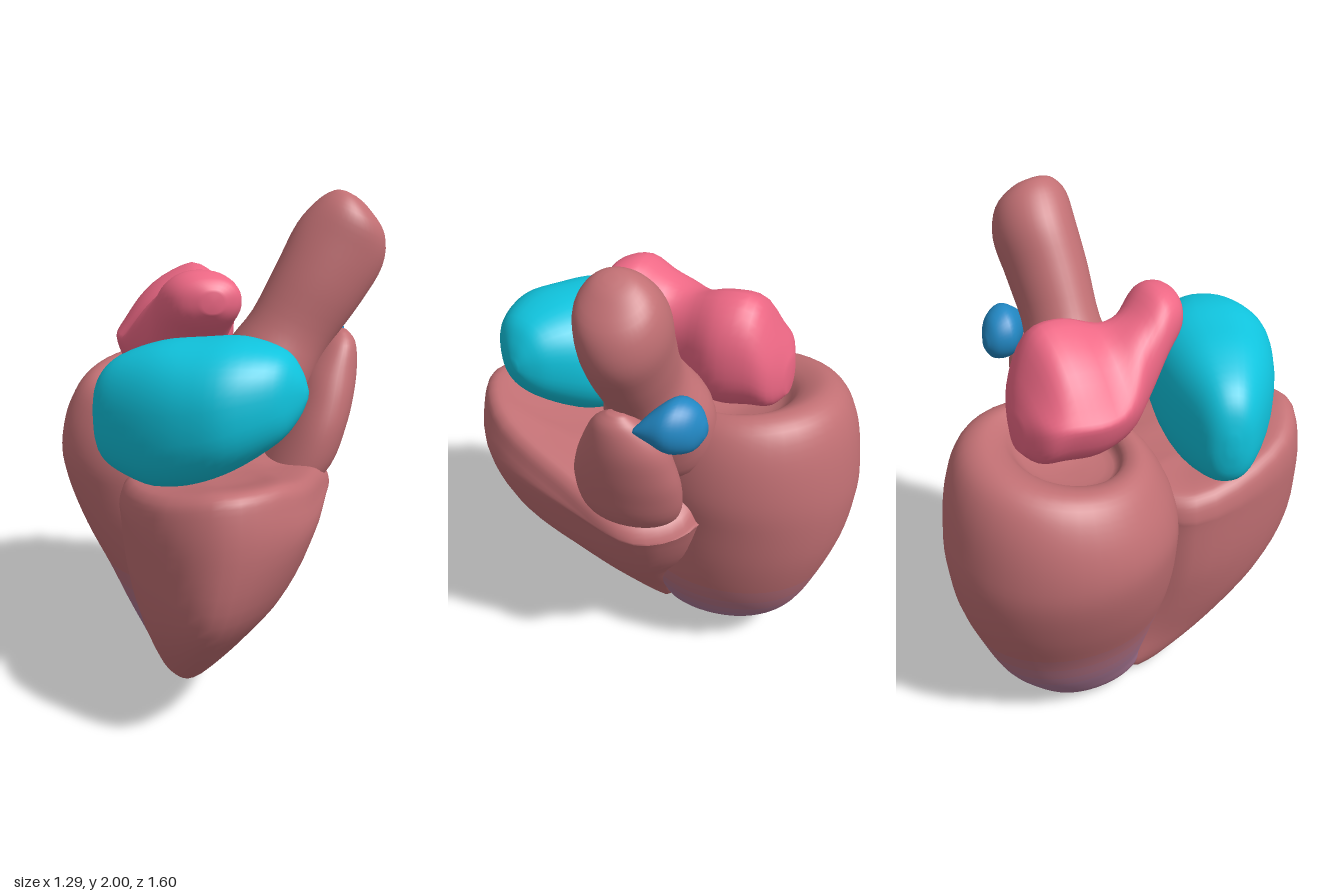
import * as THREE from 'three';
import { mergeVertices } from 'three/addons/utils/BufferGeometryUtils.js';

const SIDES = 40;
const V = (x, y, z) => new THREE.Vector3(x, y, z);
const material = (color) => new THREE.MeshStandardMaterial({ color });
const MUSCLE = 0xc27074;

// Smoothly interpolates rows of numbers
function refine(rows, steps = 4) {
  const out = [];
  const at = (i) => rows[Math.max(0, Math.min(rows.length - 1, i))];
  for (let i = 0; i < rows.length - 1; i++) {
    for (let s = 0; s < steps; s++) {
      const t = s / steps;
      out.push(at(i).map((b, k) => {
        const a = at(i - 1)[k], c = at(i + 1)[k], d = at(i + 2)[k];
        return b + 0.5 * t * (c - a + t * (2 * a - 5 * b + 4 * c - d + t * (3 * (b - c) + d - a)));
      }));
    }
  }
  out.push(rows[rows.length - 1]);
  return out;
}

// Skins closed rings of points, with a fan at both ends, facing outward
function skin(rings) {
  const n = rings[0].length;
  const pos = rings.flat().flatMap((p) => [p.x, p.y, p.z]);
  const tris = [];
  const centre = (ring) => {
    const c = V(0, 0, 0);
    ring.forEach((p) => c.addScaledVector(p, 1 / n));
    pos.push(c.x, c.y, c.z);
    return pos.length / 3 - 1;
  };
  const first = centre(rings[0]), last = centre(rings[rings.length - 1]);
  const top = (rings.length - 1) * n;
  for (let j = 0; j < n; j++) tris.push([first, (j + 1) % n, j]);
  for (let i = 0; i < rings.length - 1; i++) {
    for (let j = 0; j < n; j++) {
      const a = i * n + j, b = i * n + ((j + 1) % n);
      tris.push([a, b, b + n], [a, b + n, a + n]);
    }
  }
  for (let j = 0; j < n; j++) tris.push([last, top + j, top + ((j + 1) % n)]);
  const point = (i) => V(pos[3 * i], pos[3 * i + 1], pos[3 * i + 2]);
  let volume = 0;
  for (const [a, b, c] of tris) volume += point(a).dot(point(b).cross(point(c)));
  const geometry = new THREE.BufferGeometry();
  geometry.setAttribute('position', new THREE.Float32BufferAttribute(pos, 3));
  geometry.setIndex(tris.flatMap(([a, b, c]) => (volume < 0 ? [a, c, b] : [a, b, c])));
  const welded = mergeVertices(geometry, 1e-6);
  welded.computeVertexNormals();
  return welded;
}

// Rows are [x, y, z, half-width along u, half-width along v]
function loft(rows, u, v, power = 1, bend = () => {}) {
  const soften = (c) => Math.sign(c) * Math.abs(c) ** power;
  return skin(refine(rows).map(([x, y, z, a, b]) =>
    Array.from({ length: SIDES }, (_, j) => {
      const t = (j / SIDES) * Math.PI * 2;
      const p = V(x, y, z)
        .addScaledVector(u, a * soften(Math.cos(t)))
        .addScaledVector(v, b * soften(Math.sin(t)));
      bend(p);
      return p;
    })));
}

export function createModel() {
  const group = new THREE.Group();
  const add = (name, geometry, mat) => {
    const mesh = new THREE.Mesh(geometry, mat);
    mesh.name = name;
    group.add(mesh);
  };
  const X = V(1, 0, 0), Y = V(0, 1, 0), Z = V(0, 0, 1);

  // Left ventricle: egg with a rolled rim that dips into a hollow
  const leftVentricle = loft([
    [-0.2, 0.015, -0.25, 0.03, 0.06],
    [-0.195, 0.05, -0.22, 0.1, 0.2],
    [-0.175, 0.15, -0.265, 0.18, 0.275],
    [-0.165, 0.25, -0.29, 0.24, 0.33],
    [-0.16, 0.4, -0.305, 0.31, 0.385],
    [-0.18, 0.6, -0.33, 0.385, 0.435],
    [-0.2, 0.8, -0.35, 0.435, 0.45],
    [-0.2, 0.95, -0.35, 0.45, 0.445],
    [-0.2, 1.1, -0.35, 0.425, 0.415],
    [-0.2, 1.21, -0.35, 0.37, 0.36],
    [-0.2, 1.255, -0.34, 0.3, 0.29],
    [-0.18, 1.23, -0.32, 0.24, 0.22],
    [-0.17, 1.16, -0.3, 0.18, 0.17],
    [-0.17, 1.13, -0.3, 0.03, 0.03],
  ], X, Z, 1, (p) => {
    // The rim rises toward the back and the left
    const upper = THREE.MathUtils.smoothstep(p.y, 0.8, 1.2);
    p.y += upper * (0.12 * (-0.38 - p.z) + 0.1 * (p.x + 0.15));
  });
  // Purple tip fades into the muscle colour in bands
  const bands = [0xab7896, 0xb0768f, 0xb67487, 0xbc727e, MUSCLE];
  let start = 0;
  [11, 2, 2, 2].forEach((rows, i) => {
    const count = (rows * 2 + (i === 0 ? 1 : 0)) * SIDES * 3;
    leftVentricle.addGroup(start, count, i);
    start += count;
  });
  leftVentricle.addGroup(start, leftVentricle.index.count - start, 4);
  add('leftVentricle', leftVentricle, bands.map(material));

  // Right ventricle: height, then eight outline points (x, z) from the left seam round the front
  const levels = [
    [0.0, -0.22, 0, -0.22, 0.01, -0.2, 0.03, -0.18, 0.01, -0.17, 0, -0.18, -0.01, -0.2, -0.02, -0.22, -0.01],
    [0.06, -0.26, 0, -0.25, 0.1, -0.2, 0.17, -0.14, 0.1, -0.12, 0, -0.14, -0.04, -0.2, -0.06, -0.25, -0.05],
    [0.2, -0.3, 0.08, -0.29, 0.28, -0.2, 0.4, -0.09, 0.3, -0.02, 0.1, -0.02, -0.02, -0.1, -0.1, -0.25, -0.05],
    [0.4, -0.36, 0.1, -0.34, 0.45, -0.2, 0.62, -0.02, 0.5, 0.12, 0.18, 0.15, -0.04, 0, -0.15, -0.25, -0.05],
    [0.6, -0.41, 0.12, -0.35, 0.57, -0.17, 0.765, 0.08, 0.61, 0.25, 0.23, 0.28, -0.1, 0.1, -0.25, -0.25, -0.05],
    [0.85, -0.43, 0.12, -0.35, 0.63, -0.13, 0.8, 0.16, 0.66, 0.345, 0.25, 0.4, -0.12, 0.2, -0.3, -0.25, -0.05],
    [1.0, -0.43, 0.12, -0.35, 0.62, -0.12, 0.785, 0.15, 0.65, 0.34, 0.25, 0.43, -0.1, 0.25, -0.28, -0.25, -0.05],
  ];
  // Rounded top closing inward
  const rim = levels[levels.length - 1];
  for (const [y, s] of [[1.06, 0.93], [1.07, 0.78], [1.04, 0.4], [1.03, 0.04]]) {
    levels.push(rim.map((n, k) => {
      if (k === 0) return y;
      const mid = k % 2 ? -0.05 : 0.28;
      return mid + (n - mid) * s;
    }));
  }
  const rings = refine(levels).map(([y, ...p]) => {
    const outline = Array.from({ length: 8 }, (_, i) => V(p[2 * i], y, p[2 * i + 1]));
    return new THREE.CatmullRomCurve3(outline, true, 'centripetal').getPoints(SIDES).slice(0, SIDES);
  });
  rings.flat().forEach((p) => {
    // The top lifts at the front and drops toward both sides
    const upper = THREE.MathUtils.smoothstep(p.y, 0.8, 1.03);
    p.y += upper * (0.15 * (p.z - 0.55) - 0.25 * Math.max(0, p.x - 0.1) - 0.2 * Math.max(0, -0.15 - p.x));
  });
  add('rightVentricle', skin(rings), material(MUSCLE));

  // Outflow rising from the right ventricle
  add('outflowTract', loft([
    [0.15, 0.65, 0.0, 0.05, 0.1],
    [0.21, 0.78, -0.02, 0.1, 0.15],
    [0.3, 0.93, -0.04, 0.14, 0.2],
    [0.36, 1.08, -0.05, 0.135, 0.21],
    [0.4, 1.2, -0.06, 0.125, 0.19],
    [0.43, 1.31, -0.07, 0.11, 0.155],
    [0.465, 1.41, -0.06, 0.065, 0.09],
    [0.475, 1.455, -0.06, 0.02, 0.03],
  ], X, Z), material(MUSCLE));

  // Aorta leaning out to the left
  add('aorta', loft([
    [0.1, 1.02, -0.1, 0.08, 0.09],
    [0.12, 1.12, -0.1, 0.17, 0.2],
    [0.18, 1.3, -0.1, 0.185, 0.21],
    [0.27, 1.46, -0.08, 0.17, 0.15],
    [0.38, 1.64, -0.08, 0.185, 0.155],
    [0.465, 1.79, -0.09, 0.19, 0.16],
    [0.505, 1.9, -0.08, 0.145, 0.14],
    [0.5, 1.97, -0.07, 0.07, 0.08],
    [0.495, 1.99, -0.06, 0.02, 0.02],
  ], V(0.89, -0.45, 0), Z), material(MUSCLE));

  // Right atrium: boxy pouch lying over the front
  add('rightAtrium', loft([
    [-0.525, 1.24, 0.2, 0.02, 0.04],
    [-0.5, 1.235, 0.21, 0.08, 0.15],
    [-0.43, 1.245, 0.24, 0.135, 0.22],
    [-0.29, 1.255, 0.3, 0.205, 0.27],
    [-0.15, 1.28, 0.36, 0.245, 0.265],
    [-0.01, 1.32, 0.42, 0.245, 0.235],
    [0.126, 1.355, 0.475, 0.16, 0.165],
    [0.19, 1.36, 0.485, 0.08, 0.09],
    [0.22, 1.36, 0.485, 0.02, 0.02],
  ], V(-0.4, 0, 0.92), Y, 0.85), material(0x10c4de));

  // Left atrium: two lobes joined by a deep saddle
  add('leftAtrium', loft([
    [-0.08, 1.64, 0.21, 0.04, 0.04],
    [-0.09, 1.635, 0.17, 0.12, 0.09],
    [-0.12, 1.6, 0.08, 0.15, 0.14],
    [-0.155, 1.49, -0.02, 0.155, 0.18],
    [-0.18, 1.45, -0.12, 0.195, 0.21],
    [-0.17, 1.45, -0.25, 0.24, 0.25],
    [-0.17, 1.45, -0.38, 0.22, 0.24],
    [-0.17, 1.38, -0.46, 0.17, 0.16],
    [-0.17, 1.33, -0.505, 0.06, 0.07],
  ], X, Y, 0.9, (p) => {
    // The back lobe leans up toward the left
    const upper = THREE.MathUtils.smoothstep(p.y, 1.35, 1.65);
    p.y += 0.5 * upper * THREE.MathUtils.smoothstep(-p.z, 0, 0.2) * Math.min(0, p.x + 0.08);
  }), material(0xee6885));

  // Small auricle, pointed toward the front
  add('auricle', loft([
    [0.495, 1.41, -0.135, 0.01, 0.01],
    [0.455, 1.42, -0.19, 0.065, 0.06],
    [0.42, 1.42, -0.26, 0.105, 0.105],
    [0.4, 1.41, -0.33, 0.075, 0.085],
    [0.385, 1.4, -0.365, 0.02, 0.025],
  ], X, Y), material(0x2288c4));

  return group;
}
